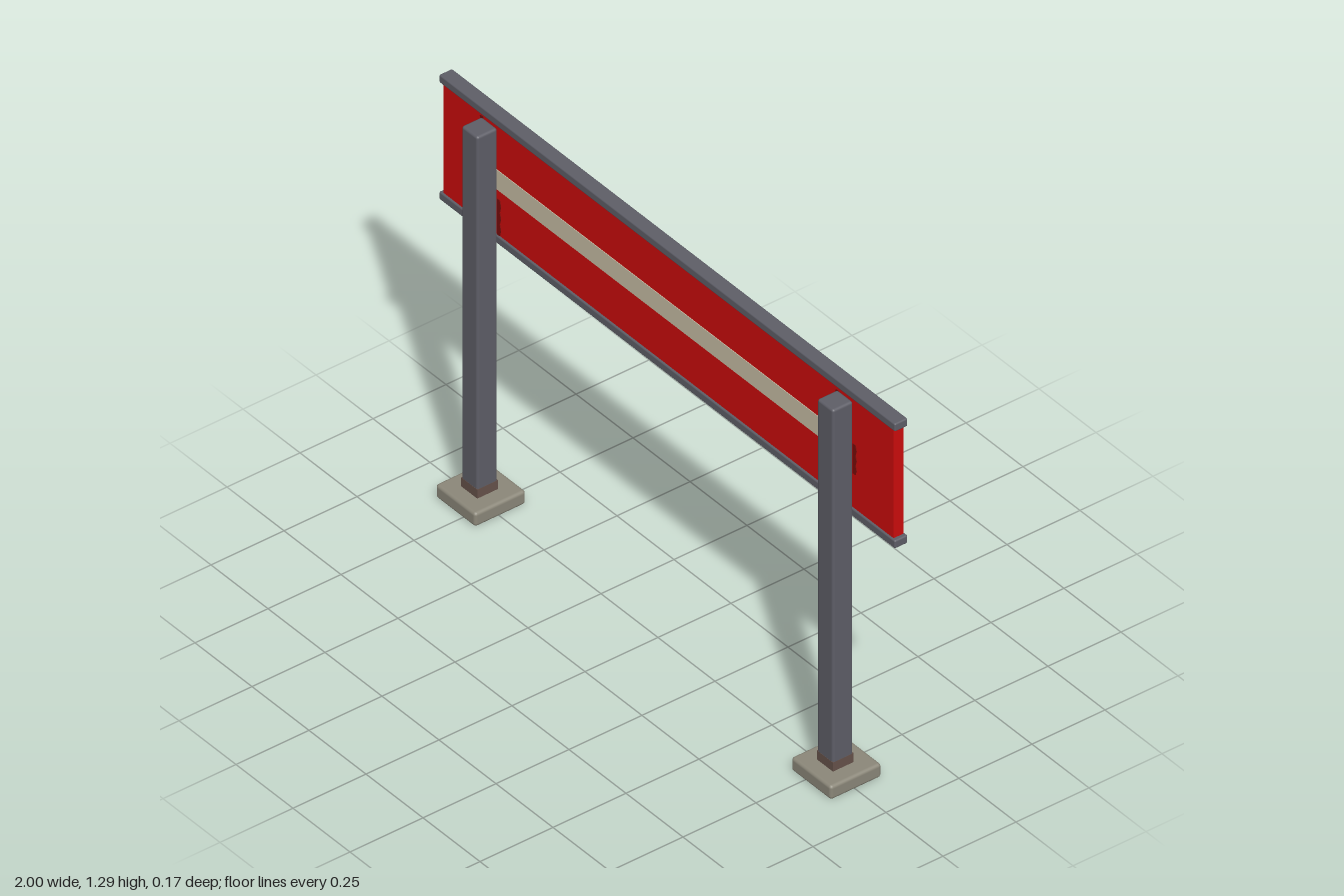
import * as THREE from 'three';
import { RoundedBoxGeometry } from 'three/addons/geometries/RoundedBoxGeometry.js';

const material = (name, color) => {
  const m = new THREE.MeshStandardMaterial({ color });
  m.name = name;
  return m;
};

export function createModel() {
  const group = new THREE.Group();
  const steel = material('grey steel', 0x5e5e67);
  const red = material('red paint', 0xcc0c0c);
  const cream = material('cream stripe', 0xc8bea6);
  const concrete = material('concrete', 0x8b8779);
  const rust = material('rust', 0x66524a);
  const stain = material('dark red stain', 0x7a0c0a);

  const add = (name, geometry, mat, x, y, z) => {
    const mesh = new THREE.Mesh(geometry, mat);
    mesh.name = name;
    mesh.position.set(x, y, z);
    group.add(mesh);
    return mesh;
  };
  // Box with softly bevelled edges
  const soft = (w, h, d, r) => new RoundedBoxGeometry(w, h, d, 2, r);

  // Sign panel with its top and bottom rails
  add('panel', new THREE.BoxGeometry(1.974, 0.38, 0.034), red, 0, 1.087, -0.053);
  add('topRail', soft(2, 0.027, 0.045, 0.005), steel, 0, 1.284, -0.053);
  add('bottomRail', soft(2, 0.027, 0.045, 0.005), steel, 0, 0.89, -0.053);

  // Painted stripe on both faces
  for (const z of [-0.036, -0.07]) {
    add('stripe', new THREE.BoxGeometry(1.54, 0.066, 0.004), cream, 0, 1.088, z);
  }

  for (const side of [-1, 1]) {
    const x = side * 0.78;
    // Footing, post and rusty foot
    add('footing', soft(0.175, 0.046, 0.175, 0.01), concrete, x, 0.026, -0.002);
    add('post', soft(0.07, 1.225, 0.07, 0.008), steel, x, 0.6525, 0.002);
    add('rustBand', new THREE.BoxGeometry(0.071, 0.032, 0.071), rust, x, 0.063, 0.002);

    // Bolt heads on the back
    for (const y of [0.935, 1.238]) {
      const bolt = add('bolt', new THREE.CylinderGeometry(0.01, 0.01, 0.008, 12), steel, side * 0.93, y, -0.072);
      bolt.rotation.x = Math.PI / 2;
    }
  }

  // Ragged stains where the posts meet the panel
  const stains = [[-0.741, 0.965, 0.12], [-0.818, 1.08, 0.08], [-0.818, 1.25, 0.03], [0.741, 1.23, 0.06], [0.819, 1.07, 0.1]];
  for (const [x, y, h] of stains) {
    const shape = new THREE.Shape();
    const w = 0.008;
    shape.moveTo(-w, -h / 2);
    for (let i = 0; i <= 6; i++) shape.lineTo(i % 2 ? w : w * 0.4, -h / 2 + (h * i) / 6);
    shape.lineTo(-w, h / 2);
    const mesh = add('stain', new THREE.ExtrudeGeometry(shape, { depth: 0.002, bevelEnabled: false }), stain, x, y, -0.0355);
    if (Math.abs(x) < 0.78 === x > 0) mesh.rotation.z = Math.PI, mesh.scale.z = 1;
  }
  return group;
}
